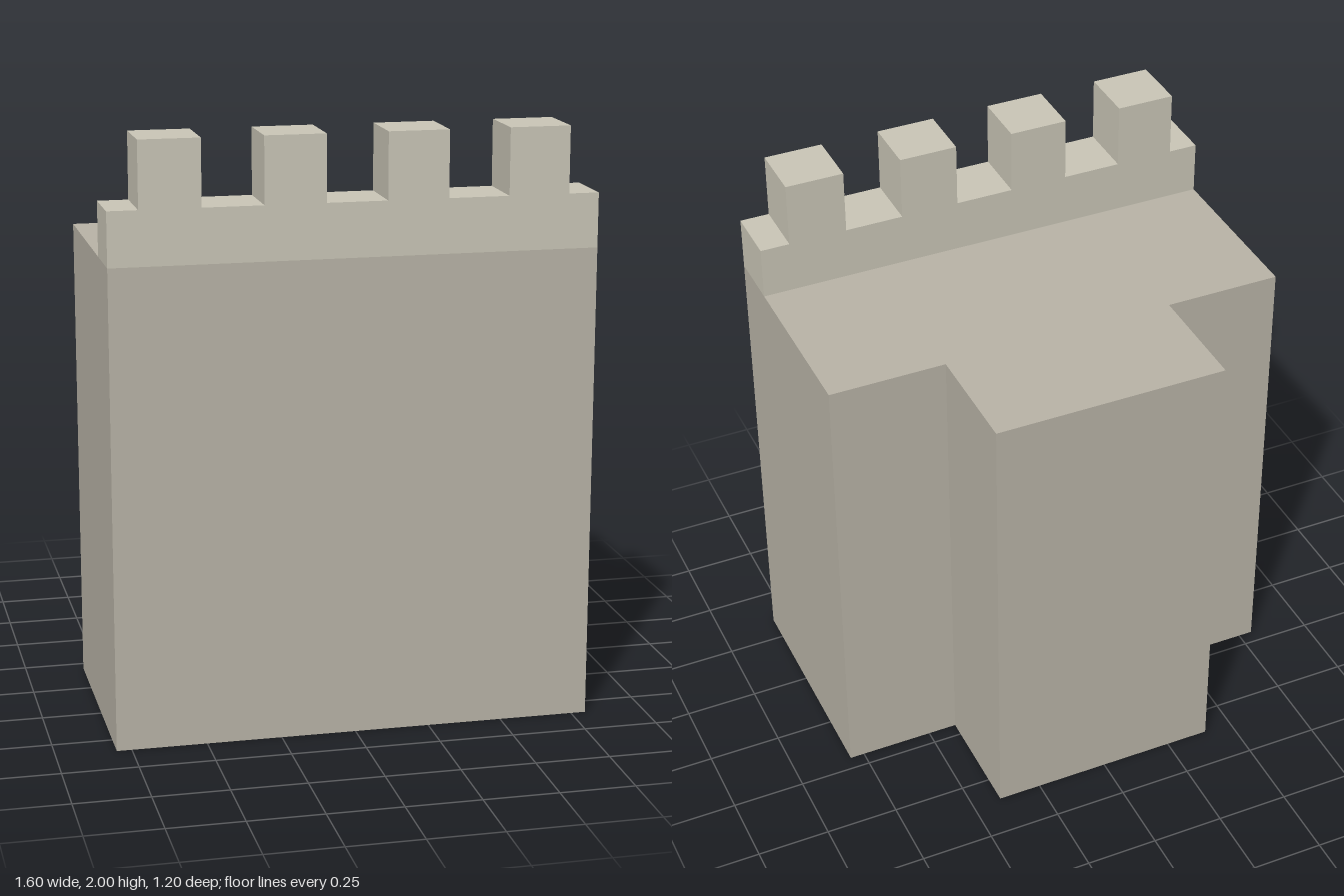
import * as THREE from 'three';

const WALL_TOP = 1.6, LEDGE_TOP = 1.78, MERLON_TOP = 2;

// Solid prism from a 2D outline
function prism(name, points, depth, color) {
  const shape = new THREE.Shape(points.map(([x, y]) => new THREE.Vector2(x, y)));
  const geometry = new THREE.ExtrudeGeometry(shape, { depth, bevelEnabled: false });
  const mesh = new THREE.Mesh(geometry, new THREE.MeshStandardMaterial({ color, flatShading: true }));
  mesh.name = name;
  return mesh;
}

export function createModel() {
  const group = new THREE.Group();
  group.name = 'castleWall';

  // T-shaped wall block with a buttress at the back: plan outline (x, -z) raised upright
  const plan = [
    [-0.8, -0.6], [0.8, -0.6], [0.8, 0.2], [0.4, 0.2],
    [0.4, 0.6], [-0.4, 0.6], [-0.4, 0.2], [-0.8, 0.2],
  ];
  const wall = prism('wallBlock', plan, WALL_TOP, 0xbab5a8);
  wall.geometry.rotateX(-Math.PI / 2);
  group.add(wall);

  // Battlement along the front edge: one silhouette with four merlons
  const outline = [[-0.8, WALL_TOP], [0.8, WALL_TOP], [0.8, LEDGE_TOP]];
  for (const x of [0.6, 0.2, -0.2, -0.6]) {
    outline.push([x + 0.1, LEDGE_TOP], [x + 0.1, MERLON_TOP], [x - 0.1, MERLON_TOP], [x - 0.1, LEDGE_TOP]);
  }
  outline.push([-0.8, LEDGE_TOP]);
  const battlement = prism('battlement', outline, 0.2, 0xcbc7b8);
  battlement.geometry.translate(0, 0, 0.4);
  group.add(battlement);

  return group;
}
